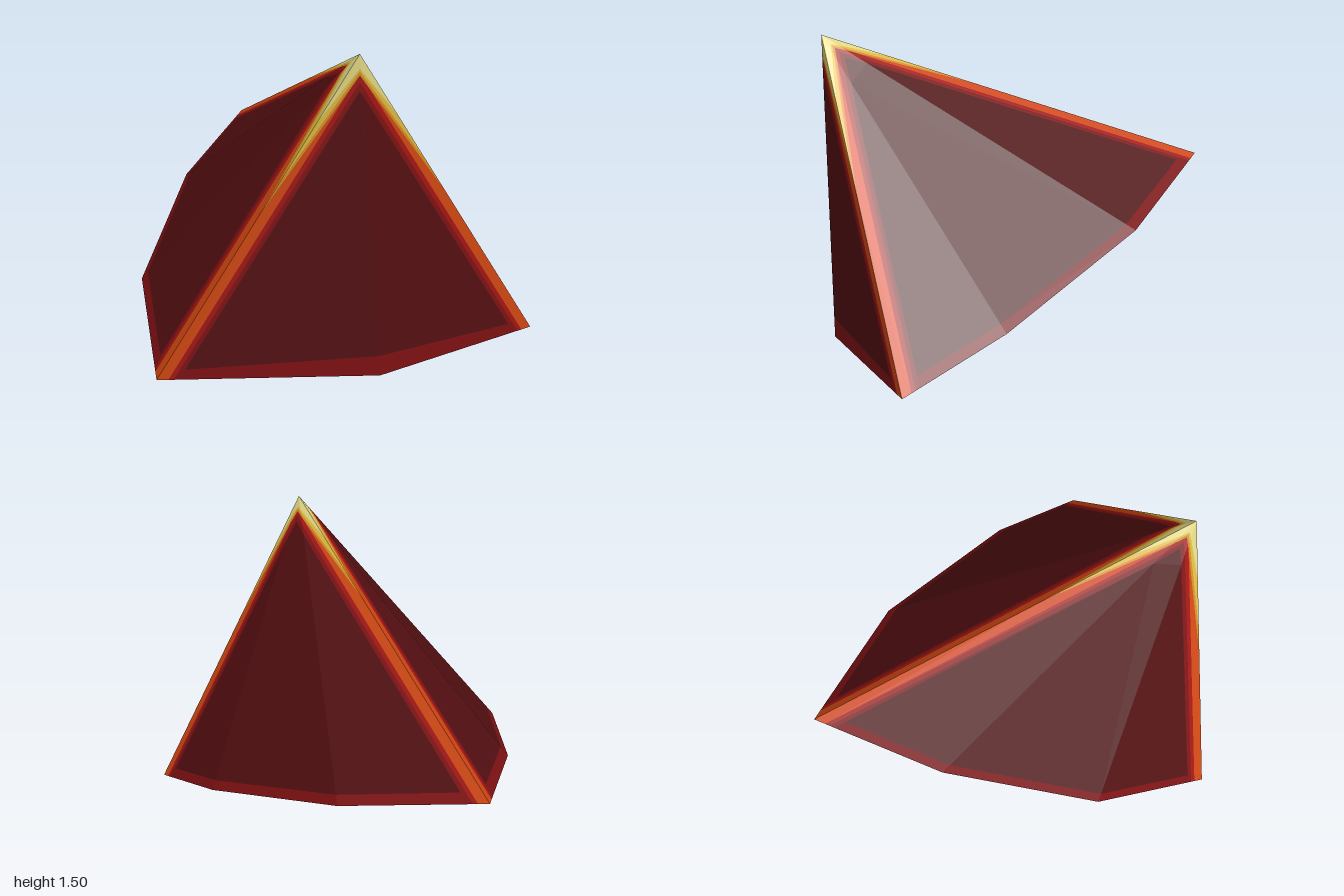
import * as THREE from 'three';

const V = (x, y, z) => new THREE.Vector3(x, y, z);
const mat = (name, color) => new THREE.MeshStandardMaterial({ name, color, flatShading: true });

// The rim lies on one sloping plane
const rimY = (z) => (1 - z) * 0.366;
const rim = (x, z) => V(x, rimY(z), z);
const rimHeight = (p) => (p.y - rimY(p.z)) / 1.065;

// Split a convex polygon by a linear function: [negative side, positive side]
function split(poly, f) {
  const neg = [], pos = [];
  poly.forEach((a, i) => {
    const b = poly[(i + 1) % poly.length], fa = f(a), fb = f(b);
    (fa < 0 ? neg : pos).push(a);
    if (fa * fb < 0) {
      const c = a.clone().lerp(b, fa / (fa - fb));
      neg.push(c);
      pos.push(c);
    }
  });
  return [neg, pos];
}

// One mesh from convex polygons, all wound to face away from the core
function polyMesh(name, polys, material) {
  const pts = [], core = V(0, 0.65, 0.45);
  for (const poly of polys) {
    for (let i = 1; i < poly.length - 1; i++) {
      const [a, b, c] = [poly[0], poly[i], poly[i + 1]];
      const n = b.clone().sub(a).cross(c.clone().sub(a));
      if (n.length() < 1e-9) continue;
      pts.push(...(n.dot(a.clone().sub(core)) > 0 ? [a, b, c] : [a, c, b]));
    }
  }
  const g = new THREE.BufferGeometry().setFromPoints(pts);
  g.computeVertexNormals();
  const mesh = new THREE.Mesh(g, material);
  mesh.name = name;
  return mesh;
}

// Cut polygons into coloured bands; what is left takes the last colour
function banded(name, polys, bands, rest) {
  const group = new THREE.Group();
  group.name = name;
  const found = new Map();
  const put = (m, p) => {
    if (p.length > 2) found.set(m, [...(found.get(m) || []), p]);
  };
  for (let poly of polys) {
    for (const [f, m] of bands) {
      if (poly.length < 3) break;
      const [neg, pos] = split(poly, f);
      put(m, neg);
      poly = pos;
    }
    put(rest, poly);
  }
  for (const [m, list] of found) group.add(polyMesh(`${name} ${m.name}`, list, m));
  return group;
}

// Distance from the line a-b, measured in the plane of a, b and inside
function lineDistance(a, b, inside) {
  const dir = b.clone().sub(a).normalize();
  const m = inside.clone().sub(a);
  m.addScaledVector(dir, -m.dot(dir)).normalize();
  return {
    d: (p) => p.clone().sub(a).dot(m),
    t: (p) => p.clone().sub(a).dot(dir),
  };
}

export function createModel() {
  const dark = mat('dark maroon', 0x520e10);
  const crimson = mat('crimson', 0x7c1012);
  const red = mat('red', 0xa01412);
  const orange = mat('orange', 0xcc4610);
  const amber = mat('amber', 0xcc8a22);
  const gold = mat('gold', 0xd8b440);
  const pale = mat('pale yellow', 0xdcd280);

  const apex = V(-0.035, 1.5, 0.975);
  const front = rim(0.08, 1), back = rim(-0.035, -1);
  const right = rim(0.915, 0.85), left = rim(-0.92, 0.845);
  const rightRim = [right, rim(0.81, 0.335), rim(0.46, -0.445), back];
  const leftRim = [back, rim(-0.48, -0.49), rim(-0.865, 0.23), left];

  const model = new THREE.Group();
  model.name = 'crystalShard';

  // Faceted sides between the three glowing ridges
  function side(name, pts, rimBands) {
    const first = pts[0], last = pts[pts.length - 1];
    const ridges = [lineDistance(apex, first, last), lineDistance(apex, last, first)];
    const both = (make, m) => ridges.map((r) => [make(r), m]);
    const wedge = (w, len) => (r) => (p) => r.d(p) - w * (1 - r.t(p) / len);
    const strip = (w) => (r) => (p) => r.d(p) - w;
    const bands = [
      ...both(wedge(0.04, 0.35), pale),
      ...both(wedge(0.045, 0.65), gold),
      ...both(wedge(0.055, 0.8), amber),
      ...both(strip(0.045), orange),
      ...both(strip(0.065), red),
      ...both(strip(0.085), crimson),
      ...rimBands,
    ];
    const facets = pts.slice(1).map((p, i) => [apex, pts[i], p]);
    model.add(banded(name, facets, bands, dark));
  }
  side('frontSide', [left, front, right], [[(p) => p.y - 0.098, crimson]]);
  side('leftSide', rightRim, [[(p) => rimHeight(p) - 0.045, crimson]]);
  side('rightSide', leftRim, [[(p) => rimHeight(p) - 0.045, crimson]]);

  // Flat underside with a broad chevron pointing to the back
  const r = lineDistance(back, right, left), l = lineDistance(back, left, right);
  const outline = [front, ...rightRim, ...leftRim.slice(1)];
  model.add(banded('underside', [outline], [
    [(p) => r.d(p) + 0.1, red],
    [(p) => l.d(p) + 0.1, red],
    [(p) => r.d(p) - 0.41, orange],
    [(p) => l.d(p) - 0.41, orange],
  ], red));

  return model;
}
